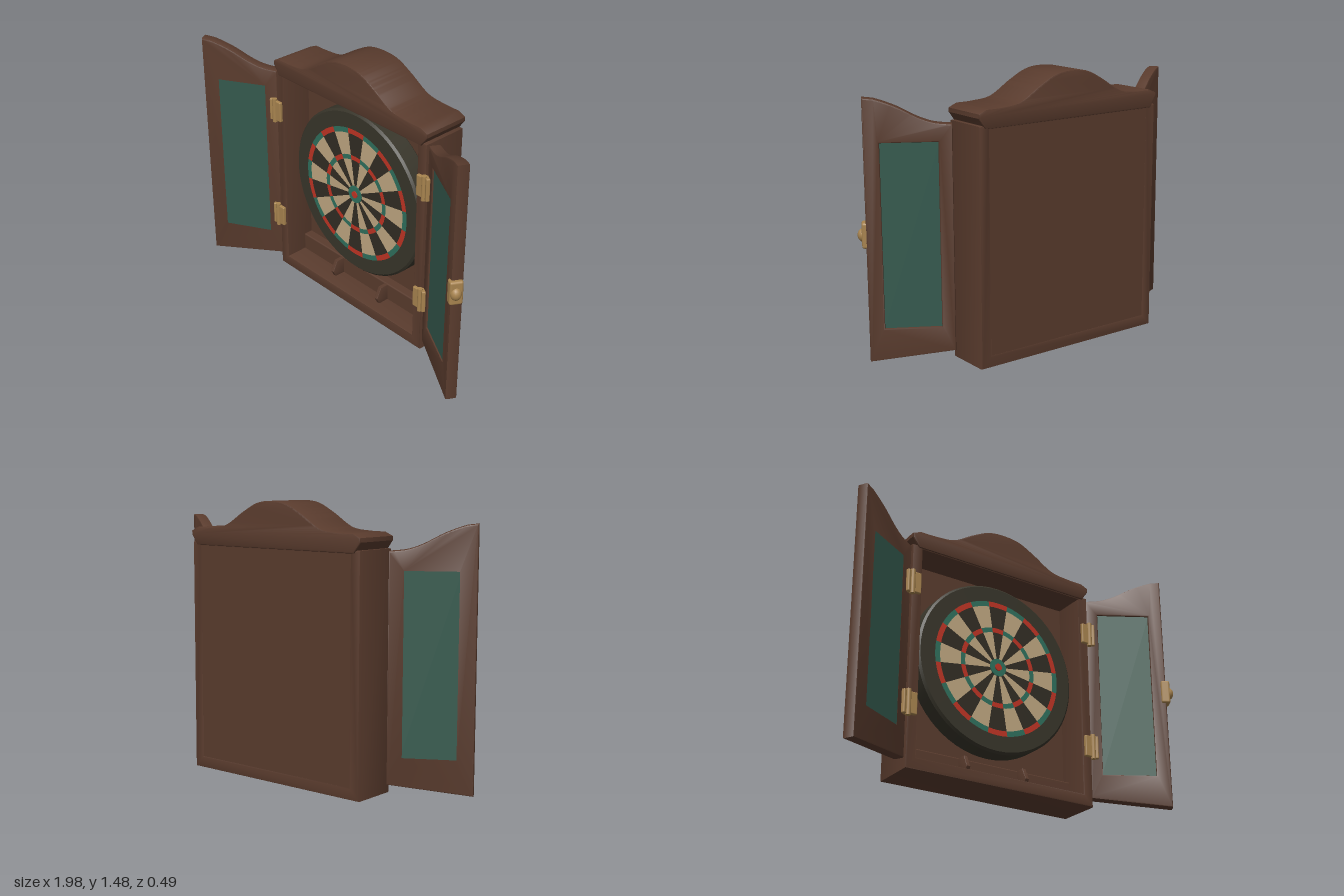
import * as THREE from 'three';
import { mergeGeometries, toCreasedNormals } from 'three/addons/utils/BufferGeometryUtils.js';
import { RoundedBoxGeometry } from 'three/addons/geometries/RoundedBoxGeometry.js';

const CX = -0.015; // cabinet centre line
const BOARD_Y = 0.695;

export function createModel() {
  const mat = (name, hex) => Object.assign(new THREE.MeshStandardMaterial({ color: hex }), { name });
  const wood = mat('dark wood', 0x593b2d);
  const glass = mat('green panel', 0x34594d);
  const brass = mat('brass', 0xa8844f);
  const rimDark = mat('board rim', 0x38352a);
  const dark = mat('dark segment', 0x322d24);
  const cream = mat('cream segment', 0xc0a781);
  const red = mat('red segment', 0xc03424);
  const green = mat('green segment', 0x2f705d);

  const model = new THREE.Group();
  model.name = 'dartboardCabinet';

  const add = (parent, name, geo, material, x = 0, y = 0, z = 0) => {
    const m = new THREE.Mesh(geo, material);
    m.name = name;
    m.position.set(x, y, z);
    parent.add(m);
    return m;
  };
  const box = (w, h, d, r = 0.008) => new RoundedBoxGeometry(w, h, d, 2, r);
  const vecs = (pts) => pts.map(([x, y]) => new THREE.Vector2(x, y));
  const rectPath = (x0, y0, x1, y1) => new THREE.Path(vecs([[x0, y0], [x1, y0], [x1, y1], [x0, y1]]));

  // Extrude from z0 to z1 with a soft bevel kept inside the outline
  const slab = (shape, z0, z1, b = 0.008) => {
    const g = new THREE.ExtrudeGeometry(shape, {
      depth: z1 - z0 - 2 * b, bevelThickness: b, bevelSize: b, bevelOffset: -b,
      bevelSegments: 2, curveSegments: 10,
    });
    g.translate(0, 0, z0 + b);
    return toCreasedNormals(g, 0.6);
  };

  // Cabinet: open frame, back panel and arched crown
  const cabinet = new THREE.Group();
  cabinet.name = 'cabinet';
  cabinet.position.x = CX;
  model.add(cabinet);

  const frame = new THREE.Shape(vecs([[-0.57, 0], [0.57, 0], [0.57, 1.25], [-0.57, 1.25]]));
  frame.holes.push(rectPath(-0.51, 0.065, 0.51, 1.23));
  add(cabinet, 'cabinetFrame', slab(frame, -0.24, 0.02), wood);
  add(cabinet, 'backPanel', new THREE.BoxGeometry(1.06, 1.2, 0.075), wood, 0, 0.645, -0.2);

  const crown = new THREE.Shape();
  crown.moveTo(-0.535, 1.235);
  crown.lineTo(0.535, 1.235);
  crown.lineTo(0.575, 1.29);
  crown.lineTo(0.575, 1.312);
  crown.lineTo(0.53, 1.332);
  const arch = [[0.43, 1.334], [0.32, 1.35], [0.2, 1.42], [0.1, 1.468]];
  crown.splineThru(vecs([...arch, [0, 1.48], ...arch.map(([x, y]) => [-x, y]).reverse(), [-0.53, 1.332]]));
  crown.lineTo(-0.575, 1.312);
  crown.lineTo(-0.575, 1.29);
  add(cabinet, 'crown', slab(crown, -0.247, 0.028), wood);

  // Dart tray along the bottom with two dividers
  add(cabinet, 'trayLedge', box(1.03, 0.11, 0.06), wood, 0, 0.11, -0.14);
  for (const x of [-0.18, 0.18]) {
    const side = new THREE.Shape(vecs([[0, 0.06], [0.08, 0.06], [0.1, 0.1], [0.07, 0.163], [0, 0.163]]));
    const g = slab(side, -0.012, 0.012, 0.004);
    g.rotateY(-Math.PI / 2);
    add(cabinet, 'trayDivider', g, wood, x, 0, -0.13);
  }

  // Dartboard
  const board = new THREE.Group();
  board.name = 'dartboard';
  board.position.set(CX + 0.002, BOARD_Y, -0.045);
  model.add(board);

  const rim = new THREE.LatheGeometry(vecs([
    [0, -0.12], [0.47, -0.12], [0.485, -0.105], [0.485, -0.012], [0.473, 0], [0, 0],
  ]), 64);
  rim.rotateX(Math.PI / 2);
  add(board, 'boardRim', toCreasedNormals(rim, 0.5), rimDark);

  // Scoring bands: inner radius, outer radius, even colour, odd colour
  const step = Math.PI / 10;
  const bands = [
    ['innerSingles', 0.05, 0.205, dark, cream],
    ['trebleRing', 0.205, 0.232, red, green],
    ['outerSingles', 0.232, 0.358, dark, cream],
    ['doubleRing', 0.358, 0.388, red, green],
  ];
  for (const [name, r0, r1, even, odd] of bands) {
    [even, odd].forEach((material, k) => {
      const parts = [];
      for (let i = k; i < 20; i += 2) {
        parts.push(new THREE.RingGeometry(r0, r1, 4, 1, Math.PI / 2 + (i - 0.5) * step, step));
      }
      add(board, name, mergeGeometries(parts), material, 0, 0, 0.004);
    });
  }
  const disc = (r, d) => new THREE.CylinderGeometry(r, r, d, 24).rotateX(Math.PI / 2);
  add(board, 'outerBull', disc(0.05, 0.009), green, 0, 0, 0.004);
  add(board, 'bullseye', disc(0.02, 0.009), red, 0, 0, 0.009);

  // Doors, swung open 30 degrees; s = +1 is the model's left
  for (const s of [1, -1]) {
    const door = new THREE.Group();
    door.name = s > 0 ? 'leftDoor' : 'rightDoor';
    door.position.set(CX + s * 0.585, 0, -0.022);
    door.rotation.y = -s * Math.PI / 6;
    model.add(door);

    const outline = new THREE.Shape();
    outline.moveTo(0, 0.055);
    outline.lineTo(s * 0.44, 0.013);
    outline.lineTo(s * 0.44, 1.378);
    outline.lineTo(s * 0.385, 1.372);
    outline.splineThru(vecs([[s * 0.33, 1.354], [s * 0.26, 1.325], [s * 0.17, 1.278], [s * 0.09, 1.25], [0, 1.24]]));
    outline.holes.push(rectPath(s * 0.07, 0.19, s * 0.36, 1.152));
    add(door, 'doorFrame', slab(outline, -0.031, 0.031), wood);
    add(door, 'doorPanel', new THREE.BoxGeometry(0.3, 0.97, 0.044), glass, s * 0.215, 0.671, 0);

    // Latch on the free edge of the left door
    if (s > 0) {
      add(door, 'latchPlate', box(0.05, 0.135, 0.07, 0.012), brass, 0.436, 0.682, 0.007);
      const knob = add(door, 'latchKnob', new THREE.SphereGeometry(0.03, 16, 12), brass, 0.453, 0.68, 0.01);
      knob.scale.y = 1.2;
    }

    // Hinges: leaf on the cabinet, leaf on the door and a barrel between
    for (const y of [1.015, 0.338]) {
      const hinge = new THREE.Group();
      hinge.name = 'hinge';
      hinge.position.set(CX + s * 0.572, y, 0.022);
      model.add(hinge);
      add(hinge, 'cabinetLeaf', box(0.05, 0.12, 0.022, 0.006), brass, -s * 0.026, 0, 0.004);
      const leaf = add(hinge, 'doorLeaf', box(0.045, 0.13, 0.022, 0.006), brass, s * 0.014, 0, 0.003);
      leaf.rotation.y = -s * Math.PI / 6;
      add(hinge, 'hingeBarrel', new THREE.CylinderGeometry(0.014, 0.014, 0.14, 12), brass, 0, 0, 0.01);
    }
  }
  return model;
}
